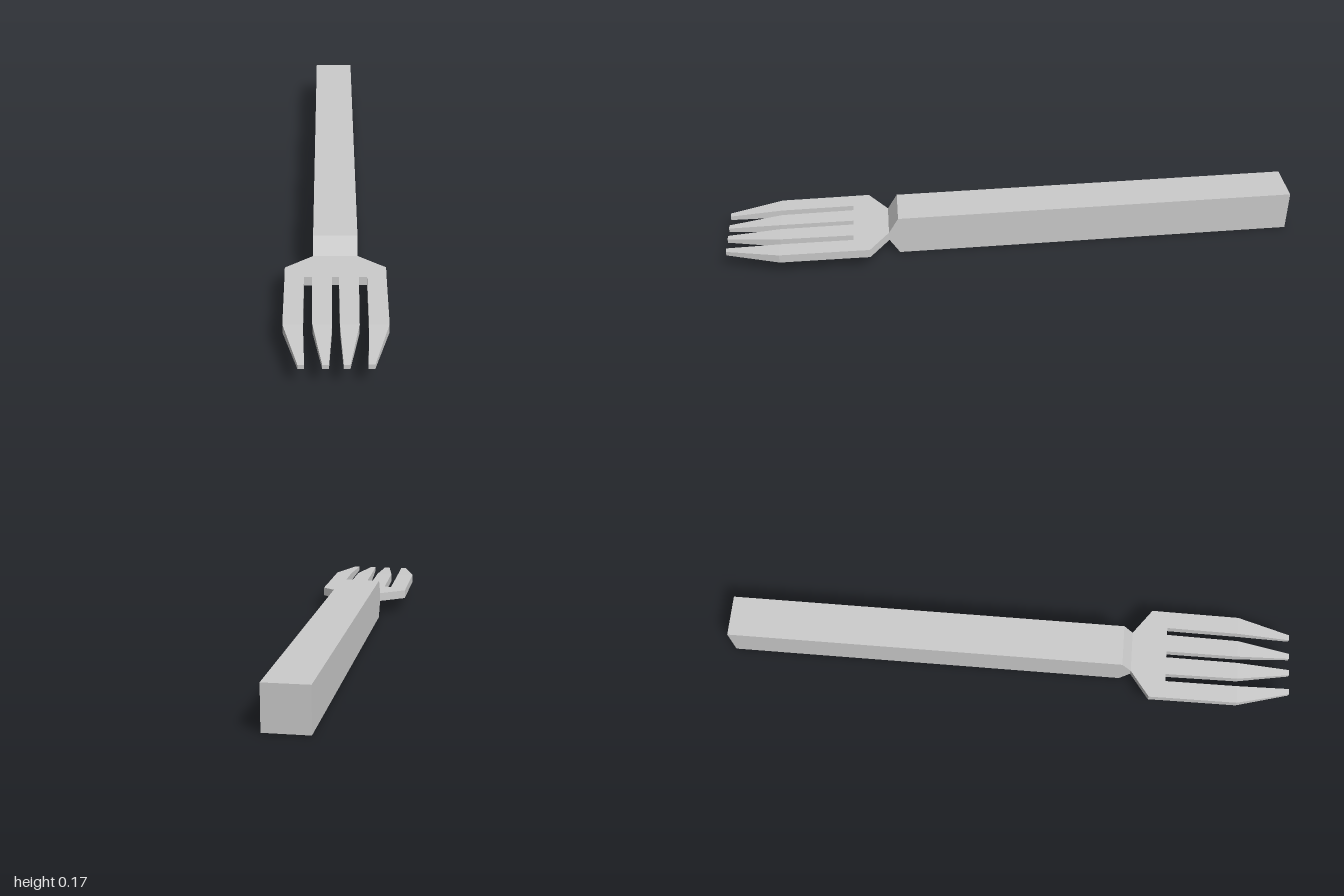
import * as THREE from 'three';

const material = new THREE.MeshStandardMaterial({ color: 0xcccccc, flatShading: true });

// Lofts rectangular sections [z, xMin, xMax, halfHeight], ordered by z, with optional end caps.
function loft(name, sections, capStart, capEnd) {
  const rings = sections.map(([z, a, b, h]) => [[a, -h, z], [b, -h, z], [b, h, z], [a, h, z]]);
  const pos = [];
  const quad = (a, b, c, d) => pos.push(...a, ...b, ...c, ...a, ...c, ...d);
  for (let r = 0; r < rings.length - 1; r++) {
    for (let i = 0; i < 4; i++) {
      const j = (i + 1) % 4;
      quad(rings[r][i], rings[r][j], rings[r + 1][j], rings[r + 1][i]);
    }
  }
  const first = rings[0], last = rings[rings.length - 1];
  if (capStart) quad(first[3], first[2], first[1], first[0]);
  if (capEnd) quad(...last);
  const geometry = new THREE.BufferGeometry();
  geometry.setAttribute('position', new THREE.Float32BufferAttribute(pos, 3));
  geometry.computeVertexNormals();
  const mesh = new THREE.Mesh(geometry, material);
  mesh.name = name;
  return mesh;
}

const mirror = (sections) => sections.map(([z, a, b, h]) => [z, -b, -a, h]);

export function createModel() {
  const group = new THREE.Group();
  group.name = 'fork';
  const thin = 0.0185, tip = 0.009;
  const root = 0.64, bend = 0.94, end = 1.157;

  // Square handle, pinched down to the thin neck
  group.add(loft('handle', [
    [-1.201, -0.086, 0.086, 0.0865],
    [0.453, -0.086, 0.086, 0.0865],
    [0.494, -0.086, 0.086, thin],
  ], true, false));

  // Flat palm flaring out to the shoulders
  group.add(loft('palm', [
    [0.494, -0.086, 0.086, thin],
    [0.574, -0.193, 0.193, thin],
    [root, -0.192, 0.192, thin],
  ], false, false));

  // Two tine shapes, each mirrored to the other side
  const tines = {
    outerTine: [[root, 0.119, 0.192, thin], [bend, 0.117, 0.19, thin], [end, 0.109, 0.132, tip]],
    innerTine: [[root, 0.013, 0.088, thin], [bend, 0.014, 0.084, thin], [end, 0.025, 0.048, tip]],
  };
  for (const [name, sections] of Object.entries(tines)) {
    group.add(loft(name + 'Left', sections, false, true));
    group.add(loft(name + 'Right', mirror(sections), false, true));
  }

  // End walls of the three slots
  for (const [a, b] of [[-0.119, -0.088], [-0.013, 0.013], [0.088, 0.119]]) {
    group.add(loft('slotEnd', [[root, a, b, thin]], false, true));
  }

  // Lies diagonally on the ground
  group.rotation.y = -0.6586;
  group.position.set(0.002, 0.0865, 0.002);
  const model = new THREE.Group();
  model.add(group);
  return model;
}
